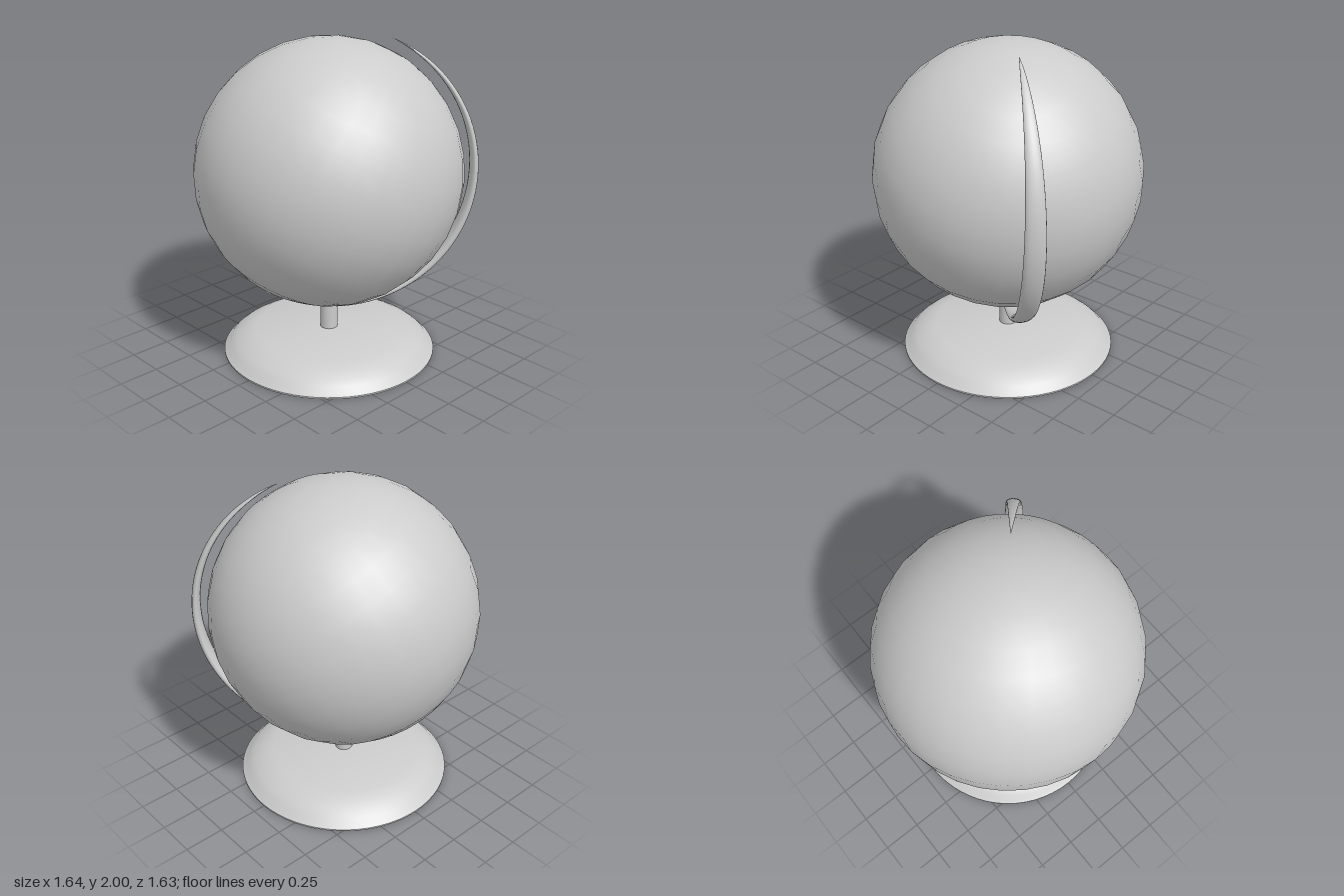
import * as THREE from 'three';
import { mergeVertices, toCreasedNormals } from 'three/addons/utils/BufferGeometryUtils.js';

const material = new THREE.MeshStandardMaterial({ color: 0xcccccc });

function addMesh(parent, name, geometry, y = 0) {
  const mesh = new THREE.Mesh(geometry, material);
  mesh.name = name;
  mesh.position.y = y;
  parent.add(mesh);
  return mesh;
}

function lathe(points, segments) {
  const profile = points.map(([r, y]) => new THREE.Vector2(r, y));
  return toCreasedNormals(new THREE.LatheGeometry(profile, segments), 0.5);
}

// Half ring with an oval section that tapers to a point at both ends
function crescent(radius, halfThickness, halfWidth) {
  const arc = THREE.MathUtils.degToRad(182);
  const geometry = new THREE.TorusGeometry(radius, 1 / 16, 16, 64, arc);
  geometry.rotateZ(-arc / 2);
  const p = geometry.attributes.position;
  for (let i = 0; i < p.count; i++) {
    const angle = Math.atan2(p.getY(i), p.getX(i));
    const taper = Math.max(0.004, Math.cos(angle * Math.PI / arc)) ** 0.75;
    const offset = (Math.hypot(p.getX(i), p.getY(i)) - radius) * 16;
    const r = radius + offset * halfThickness * taper;
    p.setXYZ(i, r * Math.cos(angle), r * Math.sin(angle), p.getZ(i) * 16 * halfWidth * taper);
  }
  geometry.deleteAttribute('uv');
  geometry.deleteAttribute('normal');
  const merged = mergeVertices(geometry, 1e-5);
  merged.computeVertexNormals();
  return merged;
}

export function createModel() {
  const model = new THREE.Group();
  model.name = 'deskGlobe';

  // Stand
  addMesh(model, 'base', lathe([
    [0, 0], [0.675, 0], [0.675, 0.01], [0.655, 0.026], [0.63, 0.055],
    [0.595, 0.082], [0.54, 0.11], [0.47, 0.135], [0, 0.135],
  ], 64));
  addMesh(model, 'post', new THREE.CylinderGeometry(0.055, 0.055, 0.2, 32), 0.23);

  // Everything on the leaning axis, turned towards the front left
  const turned = new THREE.Group();
  turned.name = 'globeAssembly';
  turned.position.y = 1.18;
  turned.rotation.y = THREE.MathUtils.degToRad(-41);
  model.add(turned);

  const tilted = new THREE.Group();
  tilted.name = 'tiltedAxis';
  tilted.rotation.z = THREE.MathUtils.degToRad(-25.5);
  turned.add(tilted);

  addMesh(tilted, 'globe', new THREE.SphereGeometry(0.82, 32, 16));
  addMesh(tilted, 'supportArm', crescent(0.89, 0.029, 0.064));

  // Pivot under the globe: washer and pin
  addMesh(tilted, 'pivot', lathe([
    [0, -0.89], [0.022, -0.89], [0.022, -0.85], [0.055, -0.846],
    [0.065, -0.835], [0.065, -0.8], [0, -0.8],
  ], 24));

  return model;
}
